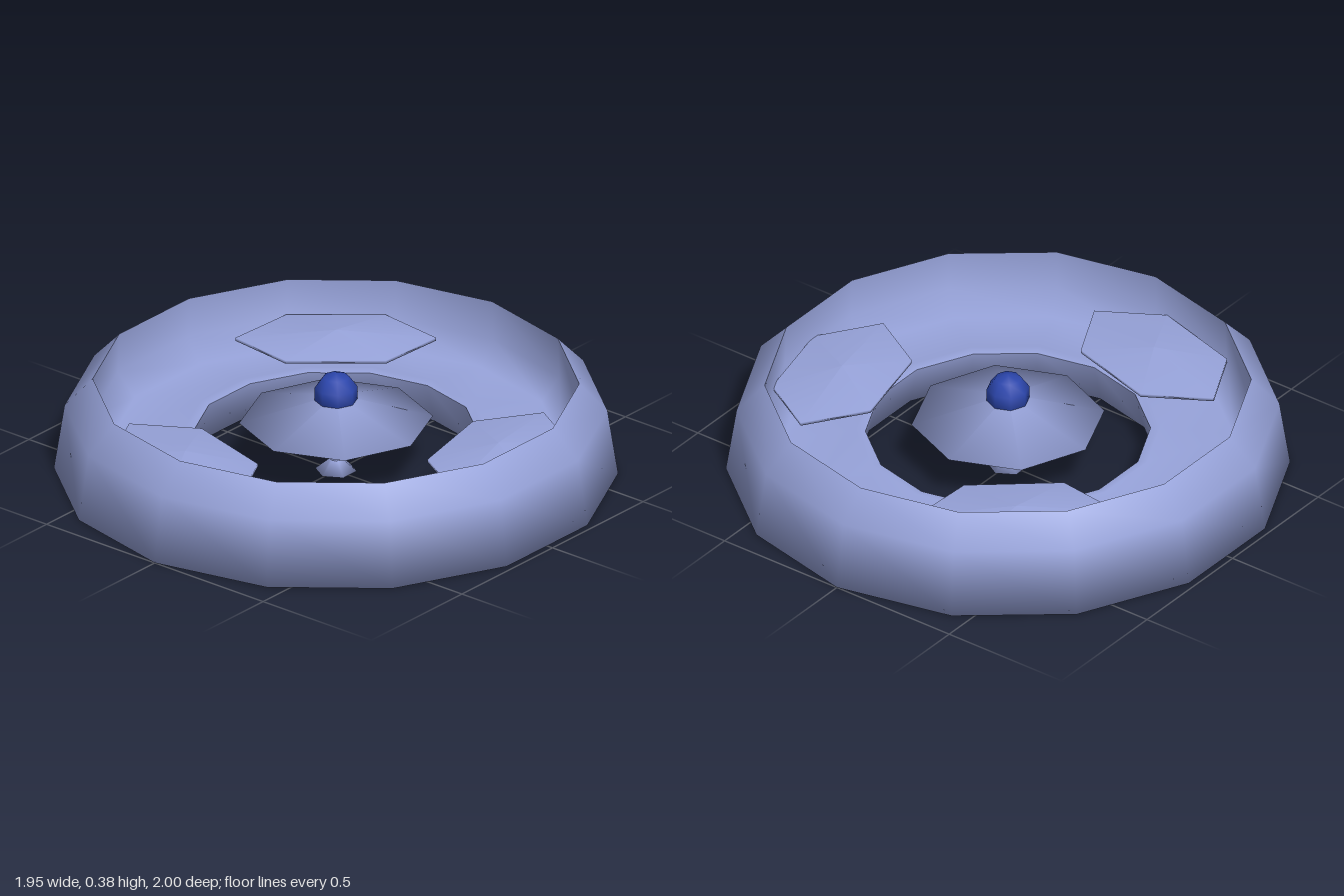
import * as THREE from 'three';

export function createModel() {
  const model = new THREE.Group();
  const shellBlue = new THREE.MeshStandardMaterial({ color: 0x97a3da });
  shellBlue.name = 'pale blue';
  const ballBlue = new THREE.MeshStandardMaterial({ color: 0x2b45ab });
  ballBlue.name = 'deep blue';

  // Turned part from [radius, height] pairs, listed so that the outside faces out
  function turned(name, profile, sides, parent = model) {
    const points = profile.map(([r, y]) => new THREE.Vector2(r, y));
    const mesh = new THREE.Mesh(new THREE.LatheGeometry(points, sides), shellBlue);
    mesh.name = name;
    parent.add(mesh);
    return mesh;
  }

  // Ring: one smooth skin from the hole, under the flat base and up to the rim, then the hollow channel
  const ring = new THREE.Group();
  ring.name = 'ring';
  model.add(ring);
  turned('outerShell', [[0.505, 0.15], [0.54, 0], [1, 0], [0.962, 0.245], [0.862, 0.35]], 14, ring);
  turned('channel', [[0.862, 0.35], [0.868, 0.2], [0.8, 0.115], [0.54, 0.157], [0.505, 0.15]], 14, ring);

  // Three flat six-sided paddles lying in the channel
  const paddles = new THREE.Group();
  paddles.name = 'paddles';
  model.add(paddles);
  for (const degrees of [-13, 106, 230]) {
    const angle = THREE.MathUtils.degToRad(degrees);
    const paddle = turned('paddle', [[0, -0.035], [0.355, -0.008], [0.355, 0.004], [0, 0.035]], 6, paddles);
    paddle.scale.x = 0.62;
    paddle.position.set(0.645 * Math.cos(angle), 0.212, 0.645 * Math.sin(angle));
    paddle.rotation.y = -angle;
  }

  // Centre: eight-sided conical canopy on a stem with a small foot
  turned('canopy', [[0, 0.198], [0.345, 0.2], [0, 0.3]], 8);
  turned('stem', [[0.022, 0.03], [0.022, 0.21]], 8);
  turned('foot', [[0, 0], [0.075, 0.004], [0.02, 0.05], [0, 0.052]], 6);

  // Ball on top
  const ball = new THREE.Mesh(new THREE.SphereGeometry(0.08, 8, 5), ballBlue);
  ball.name = 'ball';
  ball.position.y = 0.303;
  model.add(ball);

  return model;
}
